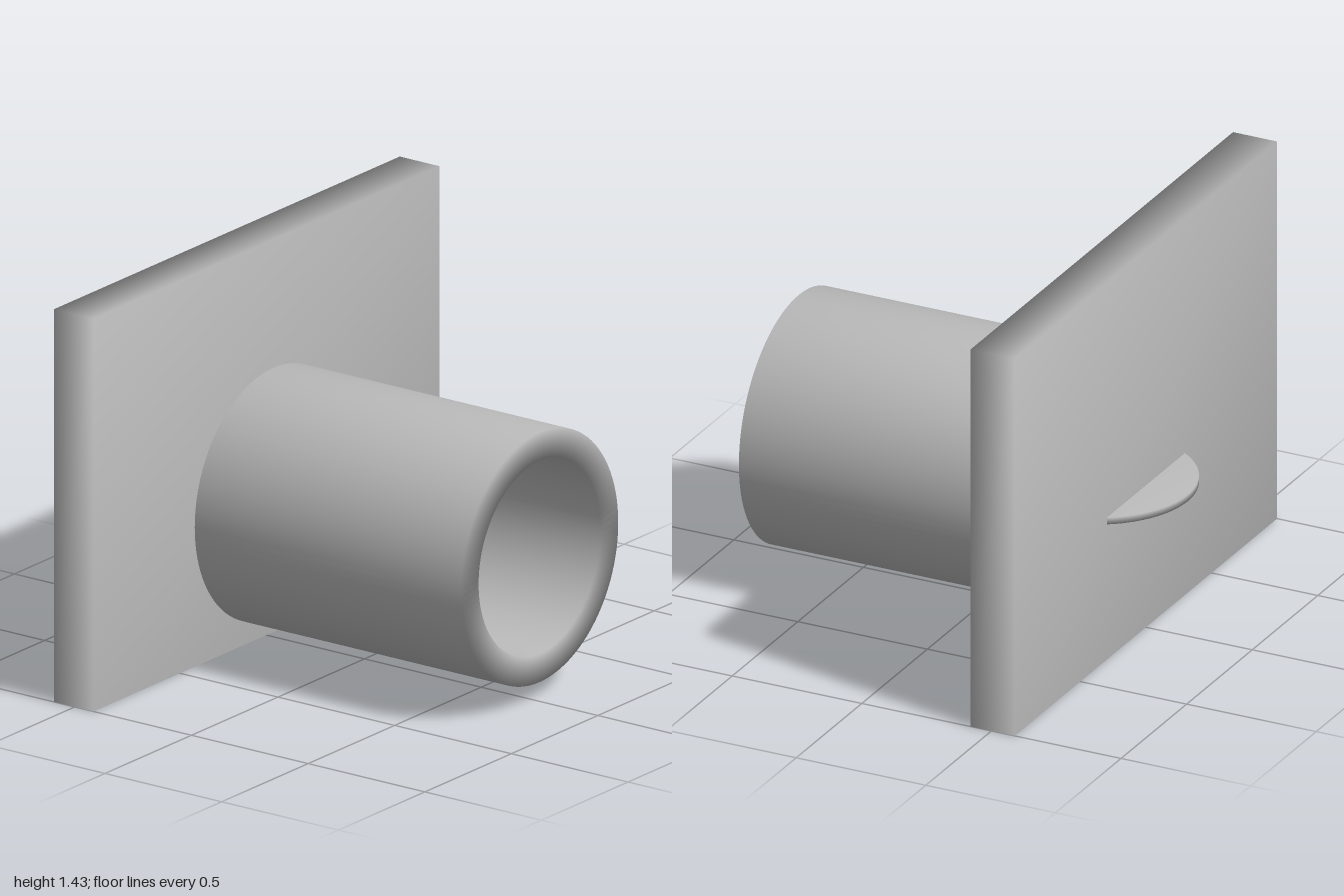
import * as THREE from 'three';
import { mergeVertices } from 'three/addons/utils/BufferGeometryUtils.js';

const grey = new THREE.MeshStandardMaterial({ color: 0xbbbbbb });
grey.name = 'plain grey';

const AXIS_Y = 0.525; // height of the pipe axis and the disc

// Welds shared corners so normals blend smoothly across every edge
function weld(geometry) {
  geometry.deleteAttribute('uv');
  geometry.deleteAttribute('normal');
  const welded = mergeVertices(geometry, 1e-4);
  welded.computeVertexNormals();
  return welded;
}

function part(name, geometry, x, y, z) {
  const mesh = new THREE.Mesh(weld(geometry), grey);
  mesh.name = name;
  mesh.position.set(x, y, z);
  return mesh;
}

export function createModel() {
  const model = new THREE.Group();
  model.name = 'pipeWithPlate';

  // Upright rectangular plate
  model.add(part('wallPlate', new THREE.BoxGeometry(2, 1.43, 0.17), 0, 0.715, -0.505));

  // Hollow open pipe, with its axis turned from y to z
  const outer = 0.455, inner = 0.352, back = -0.39, front = 0.75;
  const profile = [
    [inner, back], [outer, back], [outer, front], [inner, front], [inner, back],
  ].map(([r, h]) => new THREE.Vector2(r, h));
  const pipe = new THREE.LatheGeometry(profile, 96).rotateX(Math.PI / 2);
  model.add(part('pipe', pipe, 0, AXIS_Y, 0));

  // Thin level disc passing through the plate and into the pipe
  model.add(part('damperDisc', new THREE.CylinderGeometry(0.352, 0.352, 0.026, 96), 0, AXIS_Y, -0.4));

  return model;
}
